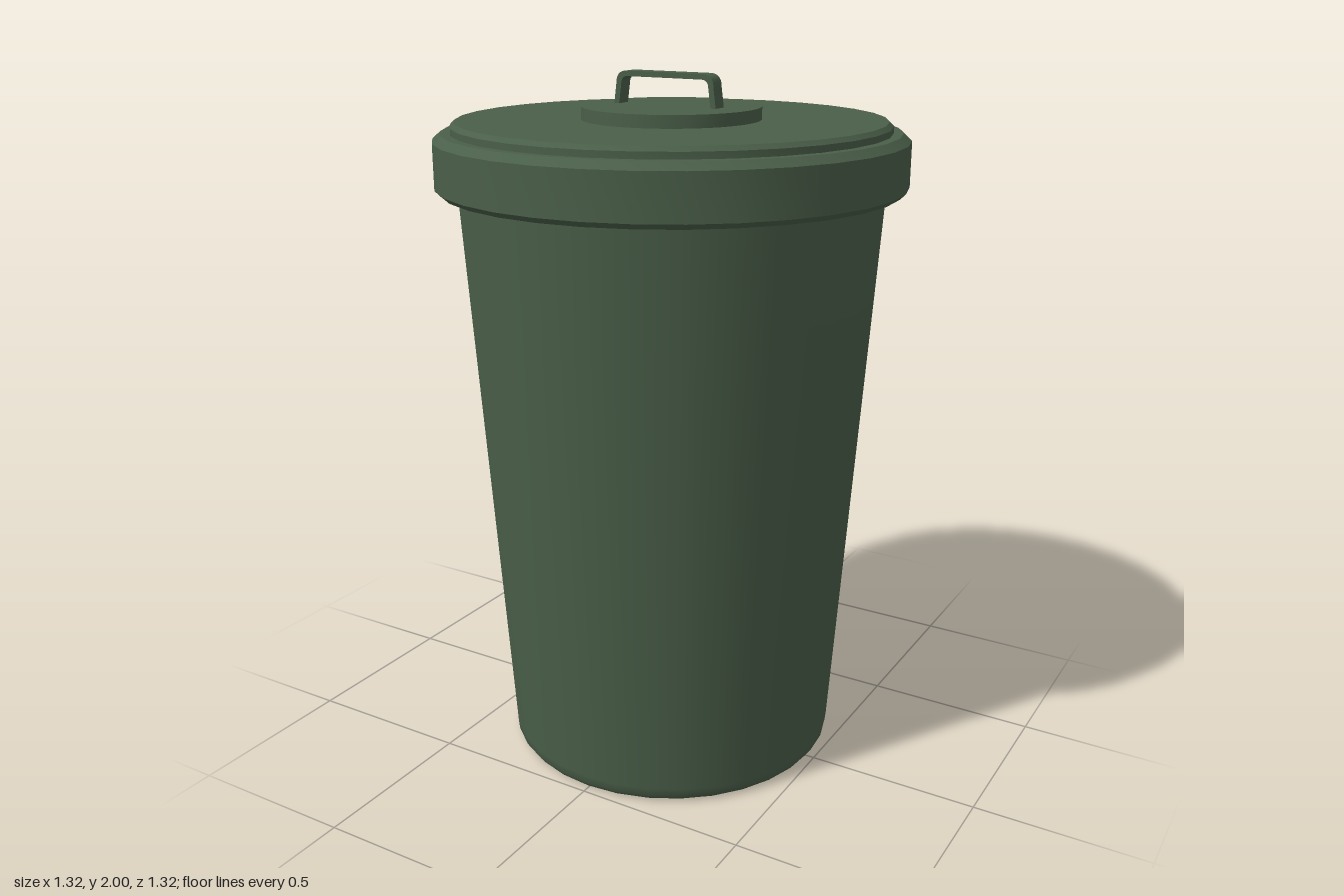
import * as THREE from 'three';
import { toCreasedNormals } from 'three/addons/utils/BufferGeometryUtils.js';

export function createModel() {
  const group = new THREE.Group();
  const material = new THREE.MeshStandardMaterial({ color: 0x4a5f49 });

  const add = (name, geometry, crease = 0.5) => {
    const mesh = new THREE.Mesh(toCreasedNormals(geometry, crease), material);
    mesh.name = name;
    group.add(mesh);
    return mesh;
  };
  const lathe = (points, sides) =>
    new THREE.LatheGeometry(points.map(([r, y]) => new THREE.Vector2(r, y)), sides);

  // Tapered bin body with a rounded foot
  add('binBody', lathe([
    [0, 0], [0.46, 0], [0.477, 0.006], [0.487, 0.02], [0.49, 0.045], [0.6, 1.72],
  ], 32), 0.7);

  // Lid: chamfered overhanging rim, step and flat top
  add('lid', lathe([
    [0.59, 1.685], [0.645, 1.685], [0.66, 1.7], [0.66, 1.825], [0.637, 1.845],
    [0.61, 1.845], [0.61, 1.863], [0.598, 1.875], [0, 1.875],
  ], 32));

  // Raised round plate under the handle
  const plate = add('handlePlate', new THREE.CylinderGeometry(0.25, 0.25, 0.04, 64));
  plate.position.y = 1.89;

  // Handle: flat strap bent into an arch with rounded corners
  const arch = (inset, bottom, top, radius) => {
    const half = 0.163 - inset, shoulder = half - 0.008;
    return [
      [-half, bottom, -shoulder, top - radius, -shoulder, top, -shoulder + radius, top],
      [half, bottom, shoulder, top - radius, shoulder, top, shoulder - radius, top],
    ];
  };
  const outer = arch(0, 1.905, 2, 0.035);
  const inner = arch(0.016, 1.905, 1.985, 0.022);
  const strap = new THREE.Shape();
  const [ol, or] = outer, [il, ir] = inner;
  strap.moveTo(ol[0], ol[1]);
  strap.lineTo(ol[2], ol[3]);
  strap.quadraticCurveTo(ol[4], ol[5], ol[6], ol[7]);
  strap.lineTo(or[6], or[7]);
  strap.quadraticCurveTo(or[4], or[5], or[2], or[3]);
  strap.lineTo(or[0], or[1]);
  strap.lineTo(ir[0], ir[1]);
  strap.lineTo(ir[2], ir[3]);
  strap.quadraticCurveTo(ir[4], ir[5], ir[6], ir[7]);
  strap.lineTo(il[6], il[7]);
  strap.quadraticCurveTo(il[4], il[5], il[2], il[3]);
  strap.lineTo(il[0], il[1]);
  strap.closePath();
  const handle = add('handle', new THREE.ExtrudeGeometry(strap, {
    depth: 0.046, bevelEnabled: false, curveSegments: 6,
  }));
  handle.position.set(-0.012, 0, -0.025);

  return group;
}
